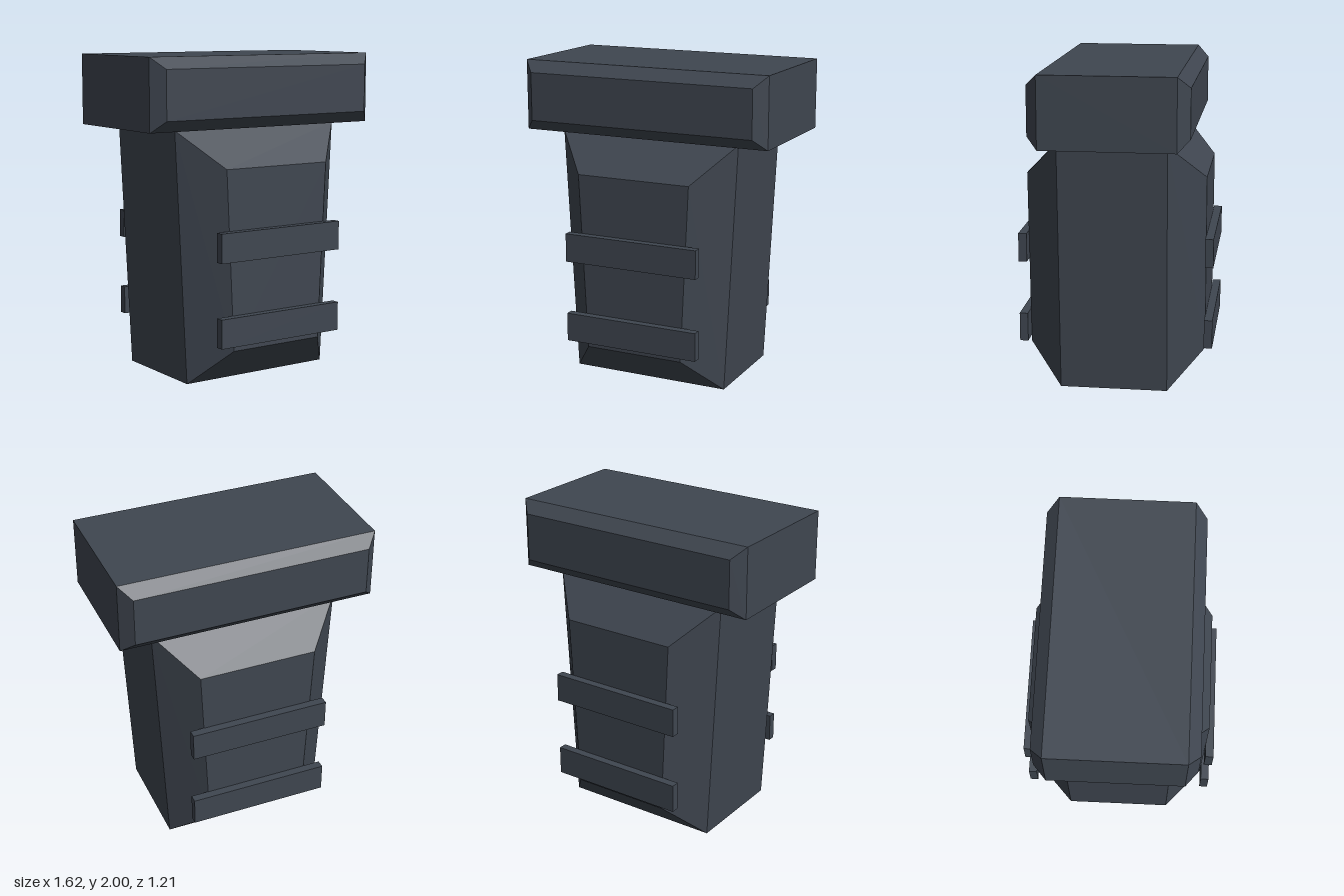
import * as THREE from 'three';

// Closed faceted solid lofted along z through four-sided sections.
// Each section: z, bottom half width, top half width, bottom y, top y.
function loft(sections) {
  const rings = sections.map(([z, wb, wt, y0, y1]) => [
    [-wb, y0, z], [wb, y0, z], [wt, y1, z], [-wt, y1, z],
  ]);
  const pos = [];
  const quad = (a, b, c, d) => pos.push(...a, ...b, ...c, ...a, ...c, ...d);
  for (let i = 0; i < rings.length - 1; i++) {
    for (let j = 0; j < 4; j++) {
      const k = (j + 1) % 4;
      quad(rings[i][j], rings[i][k], rings[i + 1][k], rings[i + 1][j]);
    }
  }
  quad(...rings[rings.length - 1]);
  quad(...[...rings[0]].reverse());
  const geo = new THREE.BufferGeometry();
  geo.setAttribute('position', new THREE.Float32BufferAttribute(pos, 3));
  geo.computeVertexNormals();
  return geo;
}

// Mirrors an end section and a shoulder section front to back.
function bevelled(end, shoulder) {
  const back = ([z, ...rest]) => [-z, ...rest];
  return loft([back(end), back(shoulder), shoulder, end]);
}

export function createModel() {
  const group = new THREE.Group();
  const slate = new THREE.MeshStandardMaterial({ color: 0x3f4650 });
  slate.name = 'slate';

  const add = (name, geometry) => {
    const mesh = new THREE.Mesh(geometry, slate);
    mesh.name = name;
    group.add(mesh);
    return mesh;
  };

  // Tapered body with chamfered front and back
  add('body', bevelled(
    [0.555, 0.32, 0.372, 0.225, 1.335],
    [0.333, 0.517, 0.595, 0, 1.56],
  ));

  // Wide cap block with bevelled front and back
  add('cap', bevelled(
    [0.48, 0.74, 0.74, 1.63, 1.93],
    [0.407, 0.812, 0.812, 1.56, 2],
  ));

  // Two raised bars on the front and two on the back
  for (const side of [1, -1]) {
    for (const y of [0.355, 0.873]) {
      const bar = add(side > 0 ? 'frontBar' : 'backBar', new THREE.BoxGeometry(0.884, 0.18, 0.052));
      bar.position.set(0, y, side * 0.579);
    }
  }

  return group;
}
